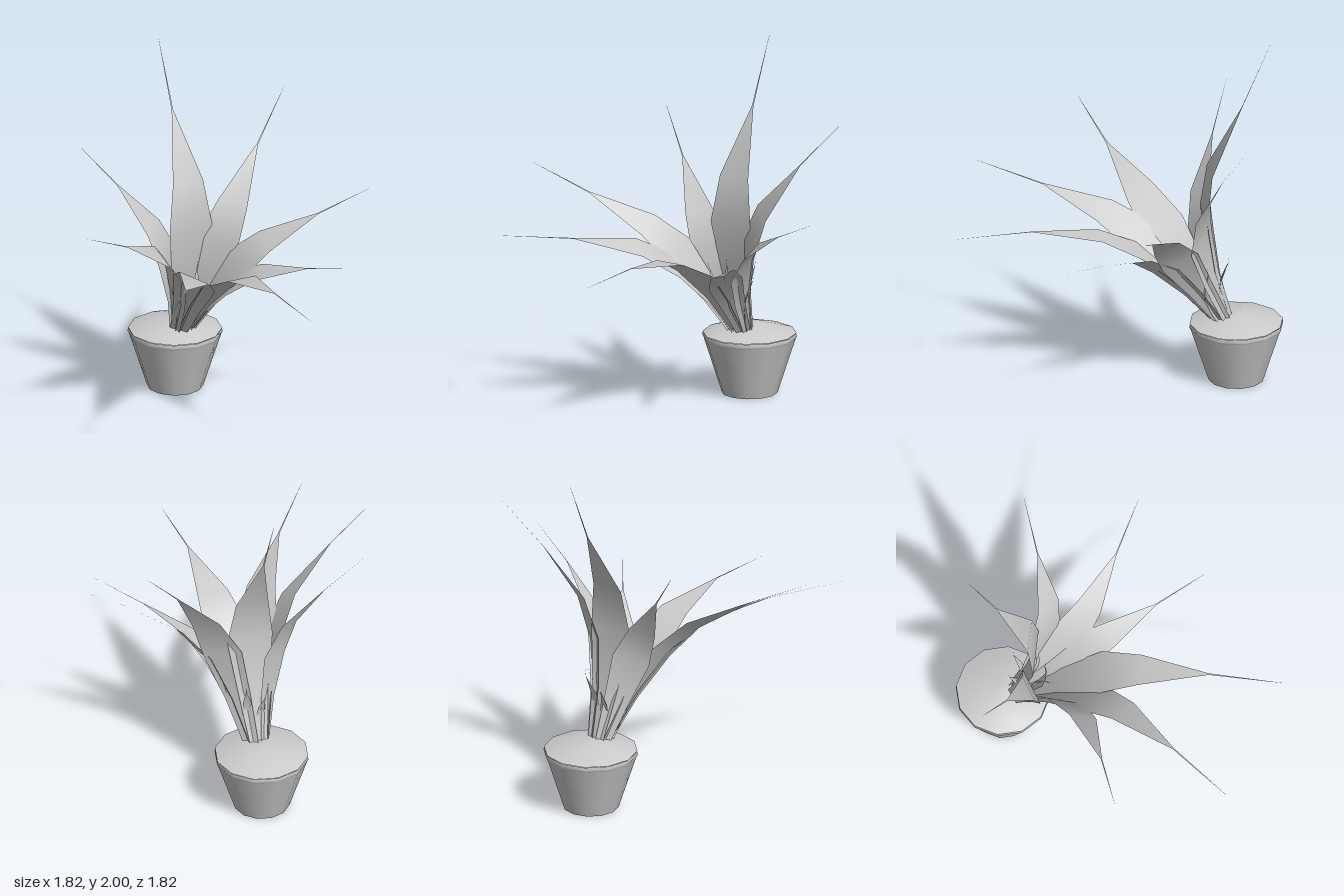
import * as THREE from 'three';

const material = new THREE.MeshStandardMaterial({ color: 0xcccccc, side: THREE.DoubleSide });
const V = (x, y, z) => new THREE.Vector3(x, y, z);

// The whole rosette leans forward along this axis
const axis = V(0, 0.87, 0.49).normalize();

// Leaf cross-sections from base to shoulder: [along, bow, half width], relative to leaf length
const SECTIONS = [
  [0, 0, 0.04],
  [0.24, 0.085, 0.07],
  [0.49, 0.14, 0.106],
  [0.7, 0.125, 0.075],
  [1, 0, 0.004],
];

// Flat bowed blade that ends in a hair-thin spike
function leaf(name, base, shoulder, tip, slim = 1) {
  const chord = shoulder.clone().sub(base);
  const length = chord.length();
  const dir = chord.clone().normalize();
  const side = axis.clone().cross(dir).normalize();
  const bow = axis.clone().addScaledVector(dir, -axis.dot(dir)).normalize();
  const positions = [];
  const index = [];
  const addRow = (center, halfWidth) => {
    for (const s of [-1, 1]) positions.push(...center.clone().addScaledVector(side, s * halfWidth).toArray());
  };
  for (const [along, lift, width] of SECTIONS) {
    const center = base.clone().addScaledVector(chord, along).addScaledVector(bow, lift * length * slim);
    addRow(center, width * length * slim);
  }
  addRow(tip, 0.0005);
  for (let i = 0; i < SECTIONS.length; i++) {
    const a = i * 2;
    index.push(a, a + 1, a + 2, a + 1, a + 3, a + 2);
  }
  const geometry = new THREE.BufferGeometry();
  geometry.setAttribute('position', new THREE.Float32BufferAttribute(positions, 3));
  geometry.setIndex(index);
  geometry.computeVertexNormals();
  const mesh = new THREE.Mesh(geometry, material);
  mesh.name = name;
  return mesh;
}

function lathe(name, points) {
  const profile = points.map(([r, y]) => new THREE.Vector2(r, y));
  const mesh = new THREE.Mesh(new THREE.LatheGeometry(profile, 12), material);
  mesh.name = name;
  return mesh;
}

export function createModel() {
  const group = new THREE.Group();
  group.name = 'pottedPlant';

  // Tapered pot with a narrow lip, and a low mound of soil
  const pot = new THREE.Group();
  pot.name = 'pot';
  pot.position.set(0.04, 0, -0.65);
  pot.add(
    lathe('potBase', [[0, 0], [0.155, 0]]),
    lathe('potWall', [[0.155, 0], [0.205, 0.155], [0.255, 0.31]]),
    lathe('potLip', [[0.255, 0.31], [0.262, 0.322], [0.258, 0.34]]),
    lathe('soil', [[0.26, 0.343], [0.2, 0.362], [0.1, 0.388], [0, 0.395]]),
  );
  group.add(pot);

  // Long leaves: name, base, shoulder, spike tip
  const leaves = [
    ['leafBack', V(0.04, 0.37, -0.61), V(0.04, 1.63, -0.68), V(0.04, 2, -0.84)],
    ['leafBackLeft', V(0.08, 0.37, -0.6), V(0.48, 1.4, -0.51), V(0.7, 1.66, -0.61)],
    ['leafBackRight', V(0, 0.37, -0.6), V(-0.36, 1.3, -0.58), V(-0.55, 1.54, -0.69)],
    ['leafLeft', V(0.09, 0.37, -0.57), V(0.63, 1.11, -0.09), V(0.91, 1.24, 0)],
    ['leafRight', V(-0.01, 0.37, -0.57), V(-0.6, 1.18, -0.03), V(-0.91, 1.33, 0.08)],
    ['leafFrontLeft', V(0.08, 0.37, -0.54), V(0.43, 0.91, 0.15), V(0.62, 0.96, 0.4)],
    ['leafFrontRight', V(0, 0.37, -0.54), V(-0.44, 1.03, 0.35), V(-0.7, 1.08, 0.68)],
    ['leafFront', V(0.04, 0.37, -0.53), V(0.04, 0.965, 0.49), V(0.04, 0.95, 0.91)],
  ];
  for (const args of leaves) group.add(leaf(...args));

  // Short young leaves around the foot of the rosette
  const shoots = [[0, 0.68, -0.61], [0.11, 0.74, -0.6], [0.19, 0.7, -0.47], [-0.1, 0.72, -0.47], [0.05, 0.78, -0.42], [0.02, 0.6, -0.38]];
  shoots.forEach(([x, y, z], i) => {
    const base = V(0.04 + (x - 0.04) * 0.4, 0.37, -0.57 + (z + 0.57) * 0.3);
    const shoulder = V(x, y, z);
    const tip = shoulder.clone().addScaledVector(shoulder.clone().sub(base), 0.12);
    group.add(leaf(`youngLeaf${i + 1}`, base, shoulder, tip, 0.8));
  });
  return group;
}
